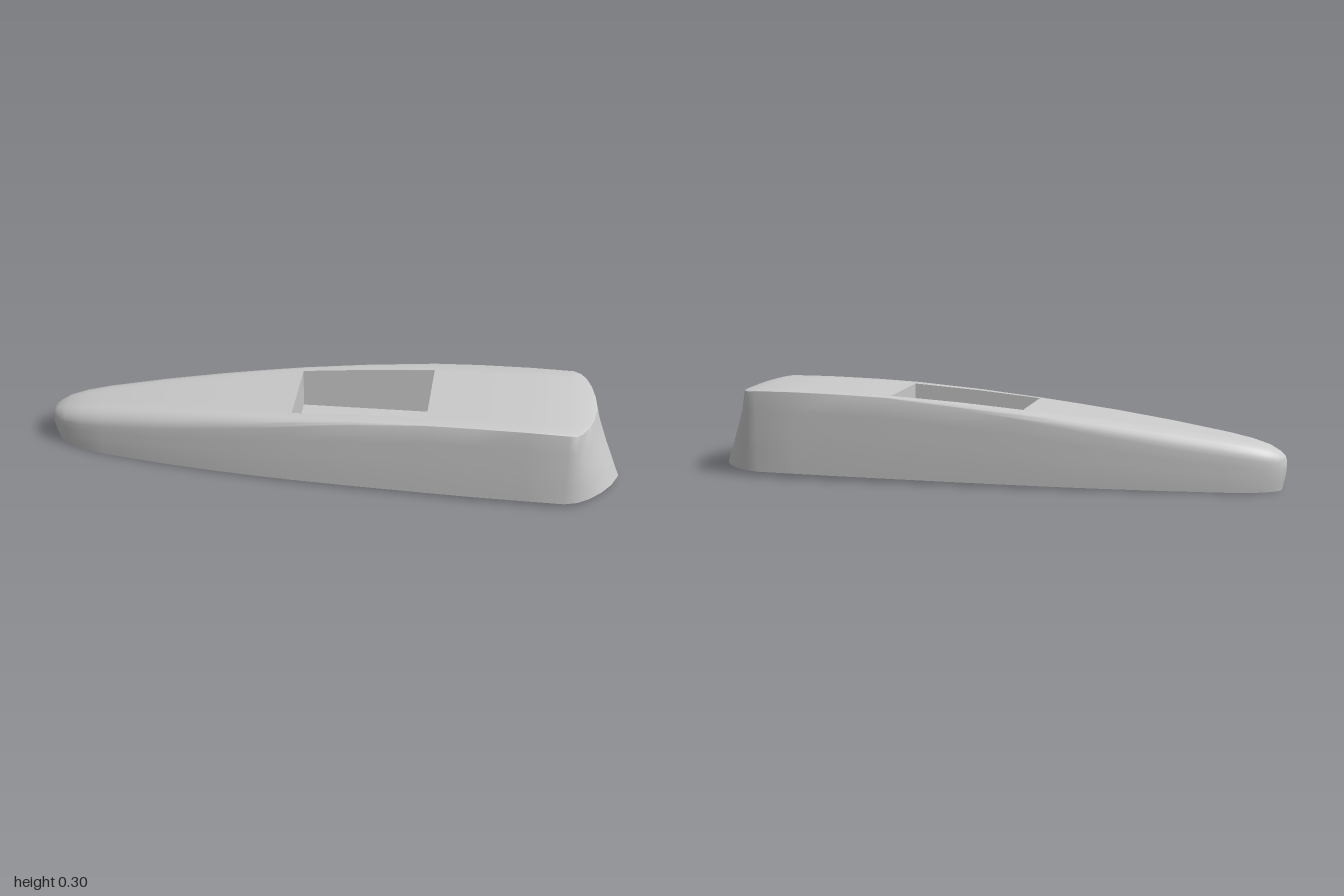
import * as THREE from 'three';
import { toCreasedNormals } from 'three/addons/utils/BufferGeometryUtils.js';

// Stations from bow to stern: [x at deck, x at keel, deck half width, keel half width, deck height]
const STATIONS = [
  [-1, -0.985, 0, 0, 0.105], [-0.993, -0.975, 0.025, 0.02, 0.118],
  [-0.975, -0.955, 0.05, 0.042, 0.132], [-0.94, -0.925, 0.072, 0.063, 0.15],
  [-0.88, -0.875, 0.091, 0.083, 0.167], [-0.8, -0.8, 0.108, 0.1, 0.182],
  [-0.6, -0.6, 0.137, 0.129, 0.211], [-0.4, -0.4, 0.158, 0.15, 0.235],
  [-0.25, -0.25, 0.17, 0.162, 0.25], [-0.12, -0.12, 0.178, 0.17, 0.262],
  [0.1, 0.1, 0.187, 0.179, 0.281], [0.34, 0.34, 0.194, 0.186, 0.296],
  [0.5, 0.5, 0.198, 0.19, 0.302], [0.68, 0.68, 0.2, 0.191, 0.305],
  [0.82, 0.82, 0.2, 0.191, 0.304], [0.845, 0.865, 0.192, 0.178, 0.3],
  [0.865, 0.905, 0.17, 0.15, 0.297], [0.885, 0.945, 0.125, 0.108, 0.293],
  [0.9, 0.978, 0.068, 0.058, 0.289], [0.908, 1, 0, 0, 0.285],
];
const WELL = { x0: -0.12, x1: 0.34, w0: 0.133, w1: 0.15, floor: 0.12 };
const ARC = 6;
const lerp = THREE.MathUtils.lerp;
const wellHalf = (x) => lerp(WELL.w0, WELL.w1, (x - WELL.x0) / (WELL.x1 - WELL.x0));

// Half cross-section, from the keel up the side, over the shoulder and in to the deck centre
function section([xt, xb, w, wb, top]) {
  const bottom = 0.009 * (xb + 1);
  const height = top - bottom;
  const round = xt < -0.12
    ? lerp(0.65, 0.16, THREE.MathUtils.clamp((xt + 1) / 0.88, 0, 1))
    : Math.max(0.01, lerp(0.16, 0.01, (xt + 0.12) / 0.46));
  const rz = w * round;
  const ry = Math.min(w * round, height * 0.35);
  const pts = [];
  const add = (y, z) => {
    const h = (y - bottom) / height;
    const x = lerp(xb, xt, xt < 0 ? Math.min(1, h / 0.6) : Math.min(1, h * 1.08));
    pts.push(new THREE.Vector3(x, y, z));
  };
  add(bottom, 0);
  for (const f of [0, 0.25, 0.5, 0.75]) add(bottom + f * (height - ry), lerp(wb, w, Math.sqrt(f)));
  for (let k = 0; k <= ARC; k++) {
    const a = (k / ARC) * Math.PI / 2;
    add(top - ry + ry * Math.sin(a), w - rz + rz * Math.cos(a));
  }
  const inWell = xt >= WELL.x0 && xt <= WELL.x1;
  add(top, inWell ? Math.min(wellHalf(xt), w - rz) : (w - rz) * 0.75);
  add(top, 0);
  return pts;
}

// Creased mesh geometry from a list of quads, dropping collapsed triangles
function fromQuads(quads) {
  const pos = [];
  const tri = new THREE.Triangle();
  for (const [a, b, c, d] of quads) {
    for (const t of [[a, b, c], [a, c, d]]) {
      tri.set(...t);
      if (tri.getArea() > 1e-8) t.forEach((p) => pos.push(p.x, p.y, p.z));
    }
  }
  const geo = new THREE.BufferGeometry();
  geo.setAttribute('position', new THREE.Float32BufferAttribute(pos, 3));
  return toCreasedNormals(geo, 0.65);
}

export function createModel() {
  const group = new THREE.Group();
  const material = new THREE.MeshStandardMaterial({ color: 0xcccccc });
  const add = (name, geo, mat) => {
    const mesh = new THREE.Mesh(geo, mat);
    mesh.name = name;
    group.add(mesh);
  };
  const flip = (p) => new THREE.Vector3(p.x, p.y, -p.z);

  // Hull and deck, mirrored across the centre line, leaving the well open
  const rows = STATIONS.map(section);
  const last = rows[0].length - 1;
  const hull = [];
  for (let i = 0; i < rows.length - 1; i++) {
    const open = STATIONS[i][0] >= WELL.x0 && STATIONS[i + 1][0] <= WELL.x1;
    for (let j = 0; j < last; j++) {
      if (open && j === last - 1) continue;
      const q = [rows[i][j], rows[i + 1][j], rows[i + 1][j + 1], rows[i][j + 1]];
      hull.push(q, q.map(flip).reverse());
    }
  }
  add('hull', fromQuads(hull), material);

  // Open well sunk into the deck: side walls, end walls and floor
  const rims = rows.filter((r, i) => STATIONS[i][0] >= WELL.x0 && STATIONS[i][0] <= WELL.x1)
    .map((r) => r[last - 1]);
  const low = (p) => new THREE.Vector3(p.x, WELL.floor, p.z);
  const well = [];
  for (let i = 0; i < rims.length - 1; i++) {
    const [a, b] = [rims[i], rims[i + 1]];
    const wall = [a, b, low(b), low(a)];
    well.push(wall, wall.map(flip).reverse());
    well.push([low(a), low(b), flip(low(b)), flip(low(a))]);
  }
  const [fore, aft] = [rims[0], rims[rims.length - 1]];
  well.push([fore, low(fore), flip(low(fore)), flip(fore)]);
  well.push([aft, flip(aft), flip(low(aft)), low(aft)]);
  const inner = material.clone();
  inner.side = THREE.DoubleSide;
  add('deckWell', fromQuads(well), inner);

  return group;
}
